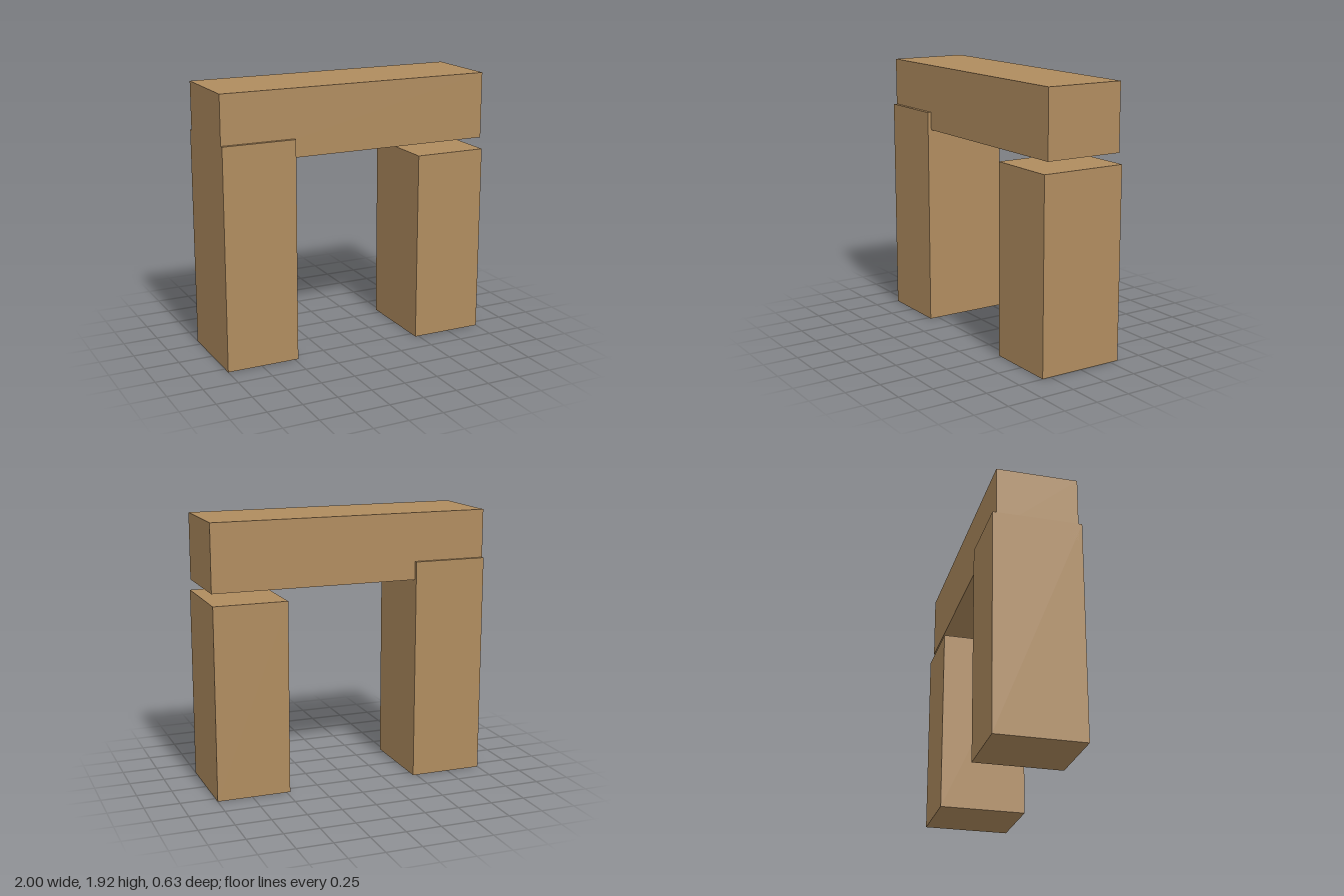
import * as THREE from 'three';

export function createModel() {
  const group = new THREE.Group();
  const wood = new THREE.MeshStandardMaterial({ color: 0xb08c5f });
  wood.name = 'tan';

  // Box standing on height y0, centred on z = 0
  function block(name, x0, x1, y0, y1, depth) {
    const mesh = new THREE.Mesh(new THREE.BoxGeometry(x1 - x0, y1 - y0, depth), wood);
    mesh.name = name;
    mesh.position.set((x0 + x1) / 2, (y0 + y1) / 2, 0);
    group.add(mesh);
  }

  // Two posts of unequal height; the taller one overlaps the beam
  block('tallPost', -1, -0.474, 0, 1.58, 0.626);
  block('shortPost', 0.474, 1, 0, 1.37, 0.626);

  // Beam across the top
  block('lintel', -1, 1, 1.45, 1.924, 0.574);

  return group;
}
